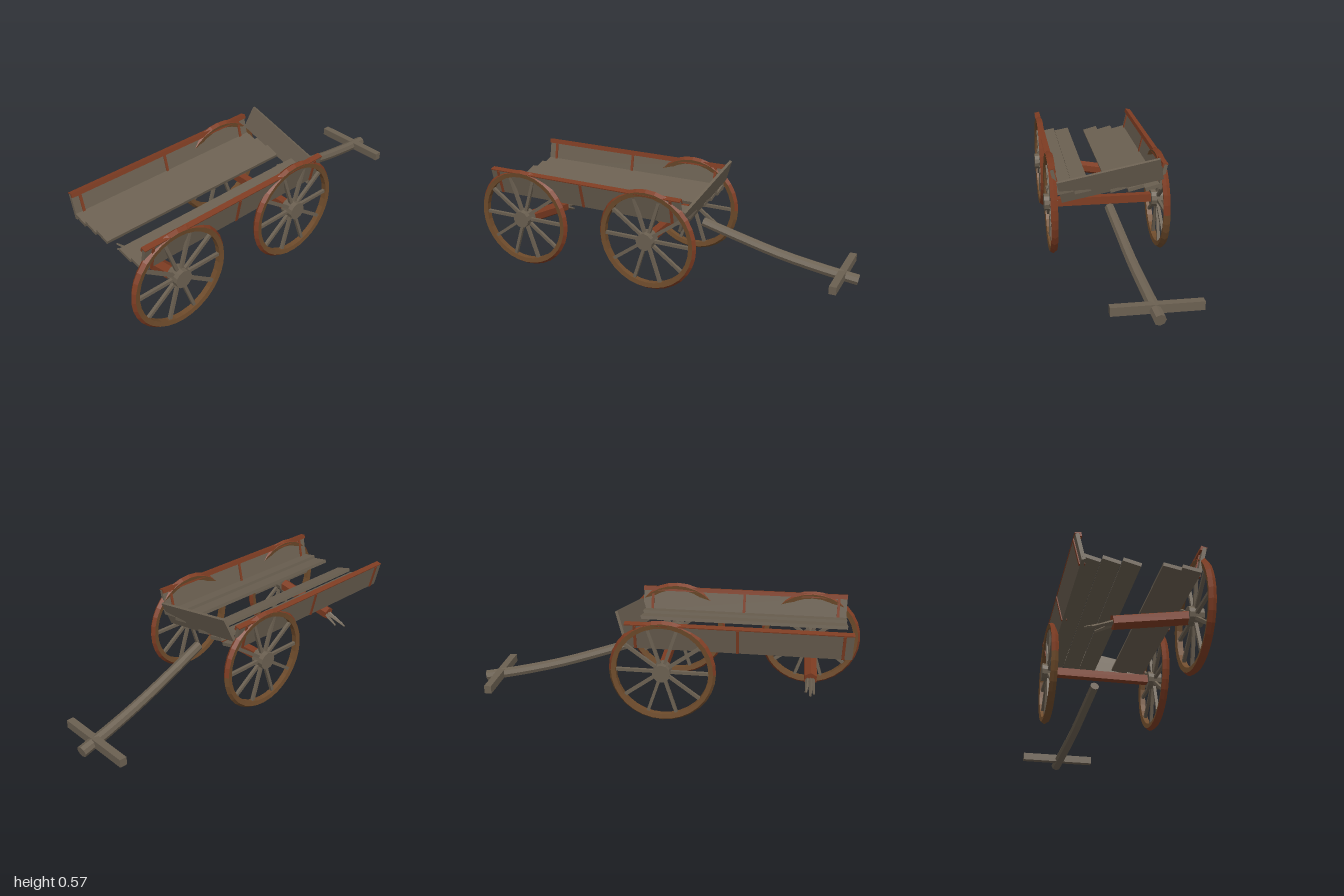
import * as THREE from 'three';

const mat = (name, color) => Object.assign(new THREE.MeshStandardMaterial({ color }), { name });

// Faceted normals
function flat(geo) {
  const g = geo.index ? geo.toNonIndexed() : geo;
  g.computeVertexNormals();
  return g;
}

export function createModel() {
  const wood = mat('weatheredWood', 0x6b6051);
  const red = mat('redPaint', 0x7e3c22);
  const brown = mat('rimBrown', 0x6e4b2b);
  const cart = new THREE.Group();
  cart.name = 'brokenCart';

  const add = (parent, name, geo, material, pos = [0, 0, 0], rot = [0, 0, 0]) => {
    const m = new THREE.Mesh(geo, material);
    m.name = name;
    m.position.set(...pos);
    m.rotation.set(...rot);
    parent.add(m);
    return m;
  };
  const box = (x, y, z) => new THREE.BoxGeometry(x, y, z);
  // Cylinder stretched between two points
  const bar = (parent, name, a, b, r0, r1, sides, material) => {
    const p = new THREE.Vector3(...a), q = new THREE.Vector3(...b);
    const d = q.clone().sub(p);
    const m = add(parent, name, flat(new THREE.CylinderGeometry(r1, r0, d.length(), sides)), material);
    m.position.copy(p).add(q).multiplyScalar(0.5);
    m.quaternion.setFromUnitVectors(new THREE.Vector3(0, 1, 0), d.normalize());
    return m;
  };

  // Wheels: rim with ridged tread in two halves, spokes and hub
  const ring = (pts, segments, start, sweep) =>
    flat(new THREE.LatheGeometry(pts.map((p) => new THREE.Vector2(...p)), segments, start, sweep));
  const treadProfile = [[0.257, -0.018], [0.27, 0], [0.257, 0.018]];
  const lowerTread = ring(treadProfile, 16, -Math.PI / 2, Math.PI);
  const upperTread = ring(treadProfile, 16, Math.PI / 2, Math.PI);
  const rim = ring([[0.257, 0.018], [0.233, 0.014], [0.233, -0.014], [0.257, -0.018]], 32);
  const hub = flat(new THREE.CylinderGeometry(0.046, 0.046, 0.07, 12));
  const spoke = box(0.2, 0.016, 0.016);
  const wheel = (name, x, y, z, lowerMaterial) => {
    const g = new THREE.Group();
    g.name = name;
    g.position.set(x, y, z);
    const turn = [Math.PI / 2, 0, 0];
    add(g, 'upperTread', upperTread, red, [0, 0, 0], turn);
    add(g, 'lowerTread', lowerTread, lowerMaterial, [0, 0, 0], turn);
    add(g, 'rim', rim, brown, [0, 0, 0], turn);
    add(g, 'hub', hub, wood, [0, 0, 0], turn);
    for (let i = 0; i < 10; i++) {
      const a = (i / 10) * Math.PI * 2;
      add(g, 'spoke', spoke, wood, [Math.cos(a) * 0.137, Math.sin(a) * 0.137, 0], [0, 0, a]);
    }
    cart.add(g);
  };
  wheel('rearWheel', -0.732, 0.27, 0.284, red);
  wheel('frontWheelNear', 0.005, 0.283, 0.284, red);
  wheel('frontWheelFar', 0.005, 0.277, -0.284, brown);

  // Whole axle, and snapped axle with splinters
  add(cart, 'frontAxle', box(0.04, 0.042, 0.52), red, [0.005, 0.283, 0]);
  bar(cart, 'snappedAxle', [-0.733, 0.263, 0.27], [-0.733, 0.198, -0.098], 0.036, 0.036, 6, red);
  [[-0.733, 0.162, -0.222], [-0.752, 0.158, -0.19], [-0.712, 0.156, -0.172]].forEach((tip, i) => {
    bar(cart, 'splinter', [-0.733 + [0, -0.012, 0.014][i], 0.197, -0.09], tip, 0.012, 0.006, 4, wood);
  });

  // Loose floor planks, one missing
  [0.223, 0.135, -0.045, -0.136, -0.225].forEach((z, i) => {
    add(cart, 'floorPlank', box(1.108, 0.018, 0.084), wood, [-0.361, 0.405, z], [i < 2 ? 0.18 : 0.25, 0, 0]);
  });

  // Leaning side boards with posts, a thin red cap and an inner red rail
  for (const s of [1, -1]) {
    const side = new THREE.Group();
    side.name = s > 0 ? 'nearSide' : 'farSide';
    side.position.set(-0.362, 0.457, s * 0.274);
    side.rotation.x = s * 0.23;
    add(side, 'sideBoard', box(1.105, 0.134, 0.018), wood);
    add(side, 'topCap', box(1.107, 0.005, 0.03), red, [0, 0.069, -s * 0.004]);
    add(side, 'innerRail', box(1.107, 0.018, 0.01), red, [0, 0.058, -s * 0.014]);
    for (const x of [-0.508, -0.003, 0.502]) {
      add(side, 'post', box(0.014, 0.132, 0.028), red, [x, 0, 0]);
    }
    cart.add(side);
  }

  // Skewed headboard
  add(cart, 'headboard', box(0.014, 0.128, 0.528), wood, [0.2, 0.455, -0.004], [0.215, -0.066, -0.32]);

  // Curved drawbar: a cylinder bent along a spline
  const path = new THREE.CatmullRomCurve3([
    [0.19, 0.308, 0], [0.38, 0.247, -0.023], [0.6, 0.182, -0.048], [0.82, 0.133, -0.075], [0.996, 0.102, -0.095],
  ].map((p) => new THREE.Vector3(...p)));
  const pole = new THREE.CylinderGeometry(0.029, 0.025, 1, 8, 10);
  const pos = pole.attributes.position;
  for (let i = 0; i < pos.count; i++) {
    const t = Math.min(1, Math.max(0, pos.getY(i) + 0.5));
    const along = path.getTangentAt(t);
    const across = new THREE.Vector3(0, 1, 0).cross(along).normalize();
    const up = along.clone().cross(across);
    const p = path.getPointAt(t).addScaledVector(up, pos.getX(i)).addScaledVector(across, pos.getZ(i));
    pos.setXYZ(i, p.x, p.y, p.z);
  }
  add(cart, 'drawbar', flat(pole), wood);
  add(cart, 'handle', box(0.037, 0.042, 0.42), wood, [0.916, 0.122, -0.098]);

  return cart;
}
